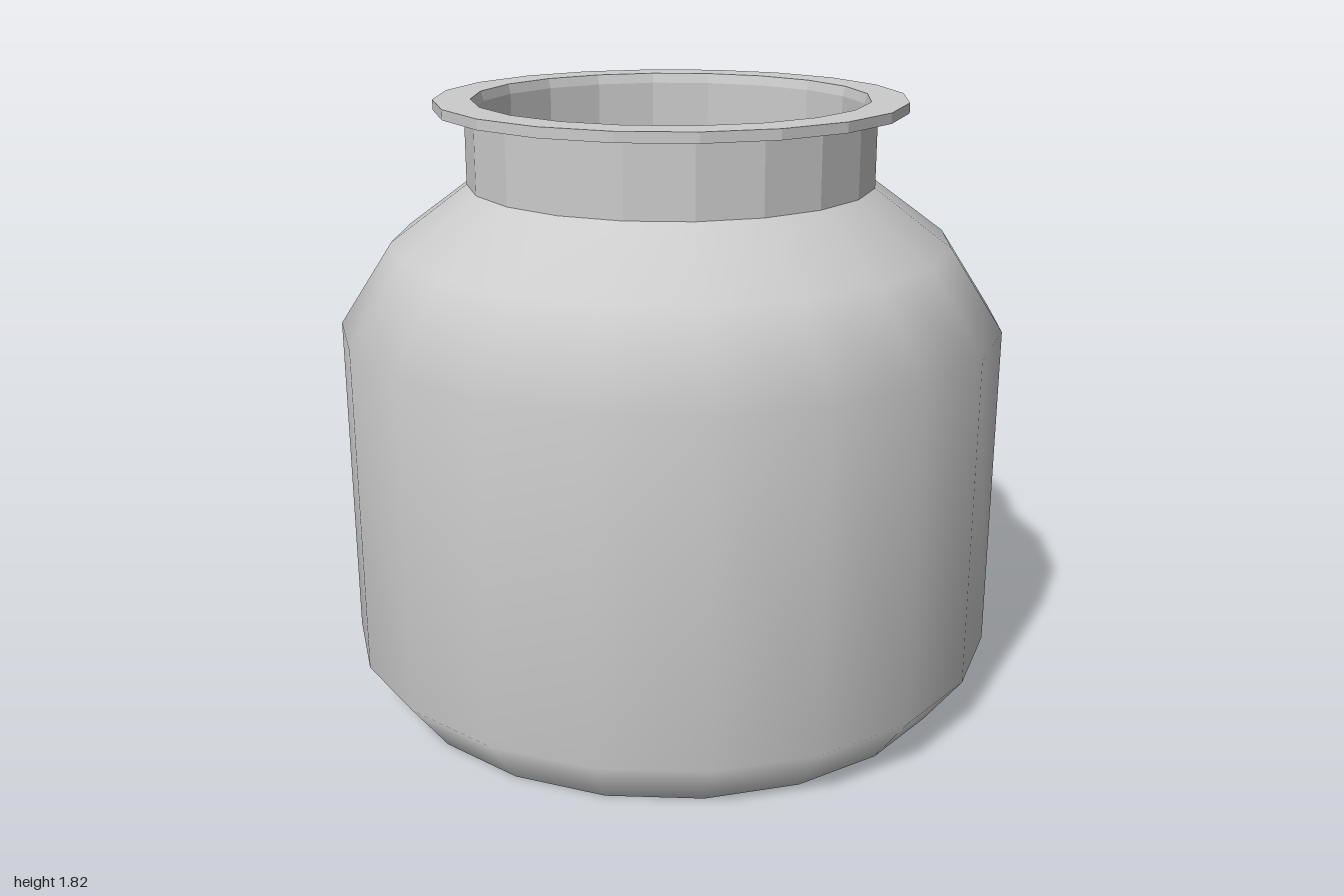
import * as THREE from 'three';

const SIDES = 20;
const smooth = new THREE.MeshStandardMaterial({ color: 0xcccccc });
const faceted = new THREE.MeshStandardMaterial({ color: 0xcccccc, flatShading: true });

// Turns a [radius, height] profile; upward profiles face outward.
function turned(name, profile, material) {
  const points = profile.map(([r, y]) => new THREE.Vector2(r, y));
  const mesh = new THREE.Mesh(new THREE.LatheGeometry(points, SIDES), material);
  mesh.name = name;
  return mesh;
}

// Flat disc, facing up or down.
function disc(name, radius, y, up) {
  const mesh = new THREE.Mesh(new THREE.CircleGeometry(radius, SIDES), faceted);
  mesh.rotation.x = up ? -Math.PI / 2 : Math.PI / 2;
  mesh.position.y = y;
  mesh.name = name;
  return mesh;
}

export function createModel() {
  const jar = new THREE.Group();
  jar.name = 'jar';

  // Body with chamfered foot and sloping shoulder
  const body = [[0.885, 0], [1, 0.155], [1, 1.155], [0.84, 1.4], [0.61, 1.57]];
  jar.add(turned('body', body, smooth));
  jar.add(disc('base', 0.885, 0, false));

  // Inner wall, running down so that it faces inward
  const inside = [[0.585, 1.545], [0.82, 1.38], [0.975, 1.145], [0.975, 0.165], [0.865, 0.03]];
  jar.add(turned('innerWall', inside, smooth));

  // Level surface of the contents
  jar.add(disc('contents', 0.85, 1.34, true));

  // Neck, outside and inside
  jar.add(turned('neck', [[0.61, 1.57], [0.61, 1.79]], faceted));
  jar.add(turned('neckInside', [[0.582, 1.79], [0.582, 1.545]], faceted));

  // Flat lip around the opening
  const lip = [[0.582, 1.79], [0.7, 1.79], [0.7, 1.82], [0.59, 1.82], [0.582, 1.79]];
  jar.add(turned('lip', lip, faceted));

  return jar;
}
